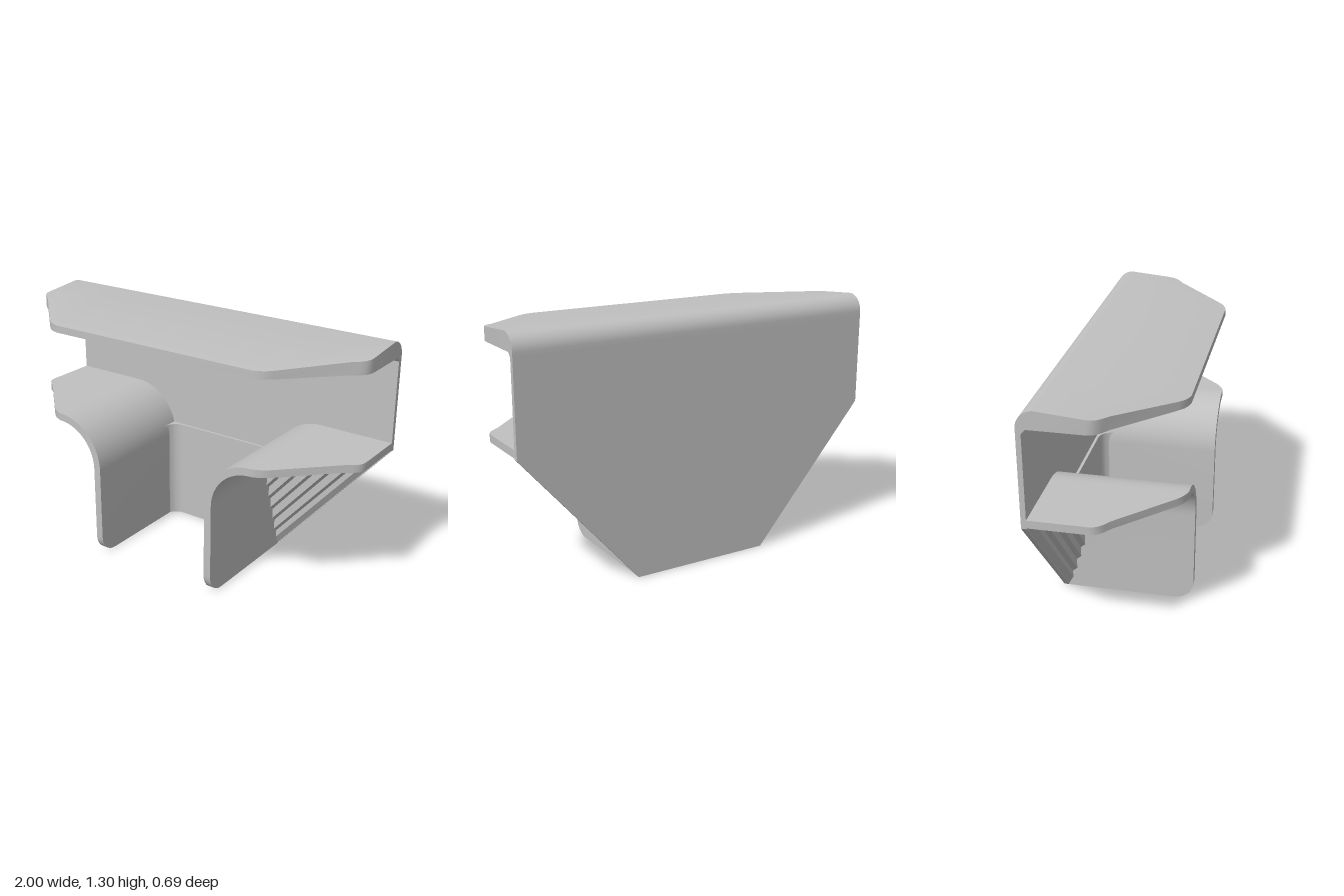
import * as THREE from 'three';
import { toCreasedNormals } from 'three/addons/utils/BufferGeometryUtils.js';

const BACK = -0.345, FRONT = 0.345;
const SLOPE = 0.72 / 0.625; // slanted lower edge of the back plate

// Joins equal-length closed sections; each runs counter-clockwise seen from the start cap.
function loft(sections) {
  const n = sections[0].length, pos = sections.flat(2), index = [];
  for (let i = 0; i < sections.length - 1; i++) {
    for (let j = 0; j < n; j++) {
      const a = i * n + j, b = i * n + (j + 1) % n;
      index.push(a, a + n, b + n, a, b + n, b);
    }
  }
  const last = (sections.length - 1) * n;
  for (let j = 1; j < n - 1; j++) {
    index.push(0, j, j + 1, last, last + j + 1, last + j);
  }
  const g = new THREE.BufferGeometry();
  g.setAttribute('position', new THREE.Float32BufferAttribute(pos, 3));
  g.setIndex(index);
  return g;
}

// Reflects a lofted part to the other side and turns its faces round.
function mirrored(g) {
  const m = g.clone().scale(-1, 1, 1), ix = m.index.array;
  for (let i = 0; i < ix.length; i += 3) [ix[i], ix[i + 1]] = [ix[i + 1], ix[i]];
  return m;
}

// Front outline shared by both flanges
const outline = [[0, FRONT], [0.59, FRONT], [0.62, 0.338], [0.65, 0.324], [0.68, 0.3],
  [0.93, 0.05], [0.965, 0.025], [0.985, 0.005], [0.996, -0.015], [1, -0.04]];

function frontZ(x) {
  const ax = Math.abs(x);
  for (let i = 1; i < outline.length; i++) {
    const [x0, z0] = outline[i - 1], [x1, z1] = outline[i];
    if (ax <= x1) return z0 + (z1 - z0) * (ax - x0) / (x1 - x0);
  }
  return outline[outline.length - 1][1];
}

// Tapered top flange with a rounded back edge
function topFlange() {
  const right = outline.slice(1).map(p => p[0]).reverse();
  const xs = [...right, ...right.map(x => -x).reverse()];
  return loft(xs.map(x => {
    const zf = frontZ(x);
    const s = [[-0.3, 1.212], [-0.32, 1.19], [BACK, 1.19]];
    for (let i = 0; i <= 10; i++) {
      const a = i / 10 * 1.49;
      s.push([-0.257 - 0.088 * Math.cos(a), 1.215 + 0.088 * Math.sin(a)]);
    }
    s.push([zf, 1.25 + (FRONT - zf) * 0.085], [zf, 1.212]);
    return s.map(([z, y]) => [x, y, z]);
  }));
}

// Lower flange bending down into the vertical side wall
function bentWall() {
  const sections = [];
  const add = (tx, ty, bx, by, zf) => sections.push(
    [[tx, ty, BACK], [tx, ty, zf], [bx, by, zf], [bx, by, BACK]]);
  for (const [x, z] of outline.slice(2).reverse()) add(x, 0.765, x, 0.725, z);
  for (let i = 0; i <= 16; i++) {
    const a = Math.PI / 2 * (1 + i / 16), c = Math.cos(a), s = Math.sin(a);
    add(0.6 + 0.265 * c, 0.5 + 0.265 * s, 0.6 + 0.225 * c, 0.5 + 0.225 * s, FRONT);
  }
  for (let i = 0; i <= 8; i++) {
    const a = i / 8 * Math.PI / 2, y = 0.1 - 0.1 * Math.sin(a);
    add(0.335, y, 0.375, y, FRONT - 0.1 + 0.1 * Math.cos(a));
  }
  return loft(sections);
}

// One step of the stair-like gusset behind the bend
function gussetStep(k) {
  const y0 = k === 0 ? 0 : 0.09 + 0.076 * (k - 1);
  const bevel = k === 0 ? 0.05 : 0.02;
  const zf = -0.295 + 0.0235 * k, zb = k === 0 ? -0.321 : zf - 0.0235;
  const lineY = (x, y) => y + SLOPE * (x - 0.375);
  const arc = [];
  for (let i = 0; i <= 8; i++) {
    const a = Math.PI / 2 * (1 + i / 8);
    const x = 0.6 + 0.243 * Math.cos(a), y = 0.5 + 0.243 * Math.sin(a);
    if (y > lineY(x, y0 + bevel) + 0.002) arc.push([x, y]);
  }
  const section = (y, z) => [
    [0.372, lineY(0.372, y)],
    [0.375 + (0.726 - y) / SLOPE, 0.726],
    ...arc].map(p => [Math.min(p[0], 1), Math.max(p[1], 0), z]);
  return loft([section(y0 + bevel, zf), section(y0, zb)]);
}

// Flat back plate with slanted lower sides
function backPlate() {
  const s = new THREE.Shape([[-0.375, 0], [0.375, 0], [1, 0.72], [1, 1.2], [-1, 1.2], [-1, 0.72]]
    .map(p => new THREE.Vector2(...p)));
  return new THREE.ExtrudeGeometry(s, { depth: 0.025, bevelEnabled: false }).translate(0, 0, BACK);
}

// Thicker channel floor with fillets against both walls
function channelFloor() {
  const r = 0.075, floor = -0.305, x = 0.342;
  const s = new THREE.Shape();
  // drawn as (x, -z), then stood upright
  s.moveTo(-x, -BACK);
  s.lineTo(-x, -floor - r);
  s.absarc(-x + r, -floor - r, r, Math.PI, Math.PI / 2, true);
  s.lineTo(x - r, -floor);
  s.absarc(x - r, -floor - r, r, Math.PI / 2, 0, true);
  s.lineTo(x, -BACK);
  s.closePath();
  return new THREE.ExtrudeGeometry(s, { depth: 0.56, bevelEnabled: false, curveSegments: 8 })
    .rotateX(-Math.PI / 2);
}

export function createModel() {
  const group = new THREE.Group();
  group.name = 'teeBracket';
  const grey = new THREE.MeshStandardMaterial({ color: 0xc0c0c0 });
  grey.name = 'plain grey';

  const add = (name, geometry) => {
    const mesh = new THREE.Mesh(toCreasedNormals(geometry, 0.5), grey);
    mesh.name = name;
    group.add(mesh);
  };
  const addPair = (name, geometry) => {
    add(name + 'Left', geometry);
    add(name + 'Right', mirrored(geometry));
  };

  add('backPlate', backPlate());
  add('topFlange', topFlange());
  add('channelFloor', channelFloor());
  addPair('bentWall', bentWall());
  for (let k = 0; k <= 7; k++) addPair('gussetStep' + (k + 1), gussetStep(k));
  return group;
}
